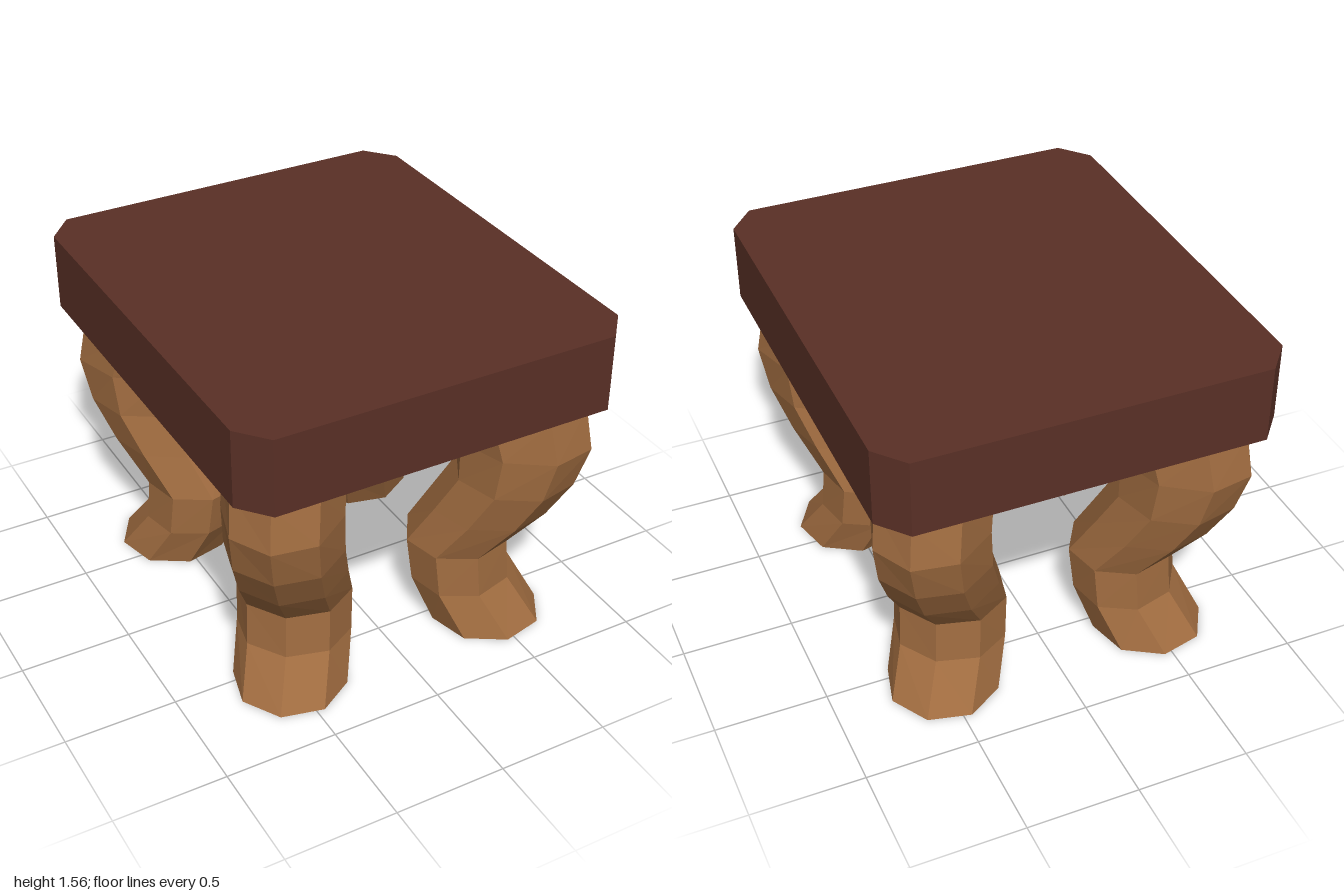
import * as THREE from 'three';

const wood = new THREE.MeshStandardMaterial({ color: 0xa06c40, flatShading: true });
wood.name = 'light wood';
const darkWood = new THREE.MeshStandardMaterial({ color: 0x5a3026, flatShading: true });
darkWood.name = 'dark wood';

// Leg rings: [height, offset outward along the diagonal, radius along the diagonal]
const RINGS = [
  [0, 0.15, 0.255], [0.2, 0.023, 0.228], [0.4, 0, 0.236], [0.6, 0.138, 0.262],
  [0.79, 0.247, 0.265], [0.985, 0.273, 0.3], [1.18, 0.217, 0.32], [1.25, 0.17, 0.34],
];
const SIDES = 8, WIDTH = 0.25;
const DX = 0.595, DZ = 0.804; // outward direction of the leg's bend

// Eight-sided bent leg; sx and sz mirror it into each corner
function legGeometry(sx, sz) {
  const pos = [], index = [];
  for (const [y, t, r] of RINGS) {
    for (let i = 0; i < SIDES; i++) {
      const a = (i / SIDES) * Math.PI * 2;
      const u = t + r * Math.cos(a), v = WIDTH * Math.sin(a);
      pos.push(sx * (0.41 + DX * u - DZ * v), y, sz * (0.475 + DZ * u + DX * v));
    }
  }
  const tri = (a, b, c) => (sx * sz > 0 ? index.push(a, b, c) : index.push(a, c, b));
  for (let k = 0; k < RINGS.length - 1; k++) {
    for (let i = 0; i < SIDES; i++) {
      const j = (i + 1) % SIDES, a = k * SIDES + i, b = k * SIDES + j;
      tri(a, a + SIDES, b);
      tri(b, a + SIDES, b + SIDES);
    }
  }
  // End caps
  const top = (RINGS.length - 1) * SIDES;
  for (let i = 1; i < SIDES - 1; i++) {
    tri(0, i, i + 1);
    tri(top, top + i + 1, top + i);
  }
  const indexed = new THREE.BufferGeometry();
  indexed.setAttribute('position', new THREE.Float32BufferAttribute(pos, 3));
  indexed.setIndex(index);
  const g = indexed.toNonIndexed();
  g.computeVertexNormals();
  return g;
}

export function createModel() {
  const group = new THREE.Group();
  group.name = 'table';

  // Thick top with clipped corners
  const outline = new THREE.Shape([
    [0.76, -1], [0.87, -0.87], [0.87, 0.87], [0.76, 1],
    [-0.76, 1], [-0.87, 0.87], [-0.87, -0.87], [-0.76, -1],
  ].map(([x, z]) => new THREE.Vector2(x, z)));
  const topGeometry = new THREE.ExtrudeGeometry(outline, { depth: 0.345, bevelEnabled: false });
  topGeometry.rotateX(-Math.PI / 2).translate(0, 1.215, 0);
  const tableTop = new THREE.Mesh(topGeometry, darkWood);
  tableTop.name = 'tableTop';
  group.add(tableTop);

  // Four mirrored legs
  for (const [name, sx, sz] of [
    ['frontLeftLeg', 1, 1], ['frontRightLeg', -1, 1],
    ['backLeftLeg', 1, -1], ['backRightLeg', -1, -1],
  ]) {
    const leg = new THREE.Mesh(legGeometry(sx, sz), wood);
    leg.name = name;
    group.add(leg);
  }
  return group;
}
